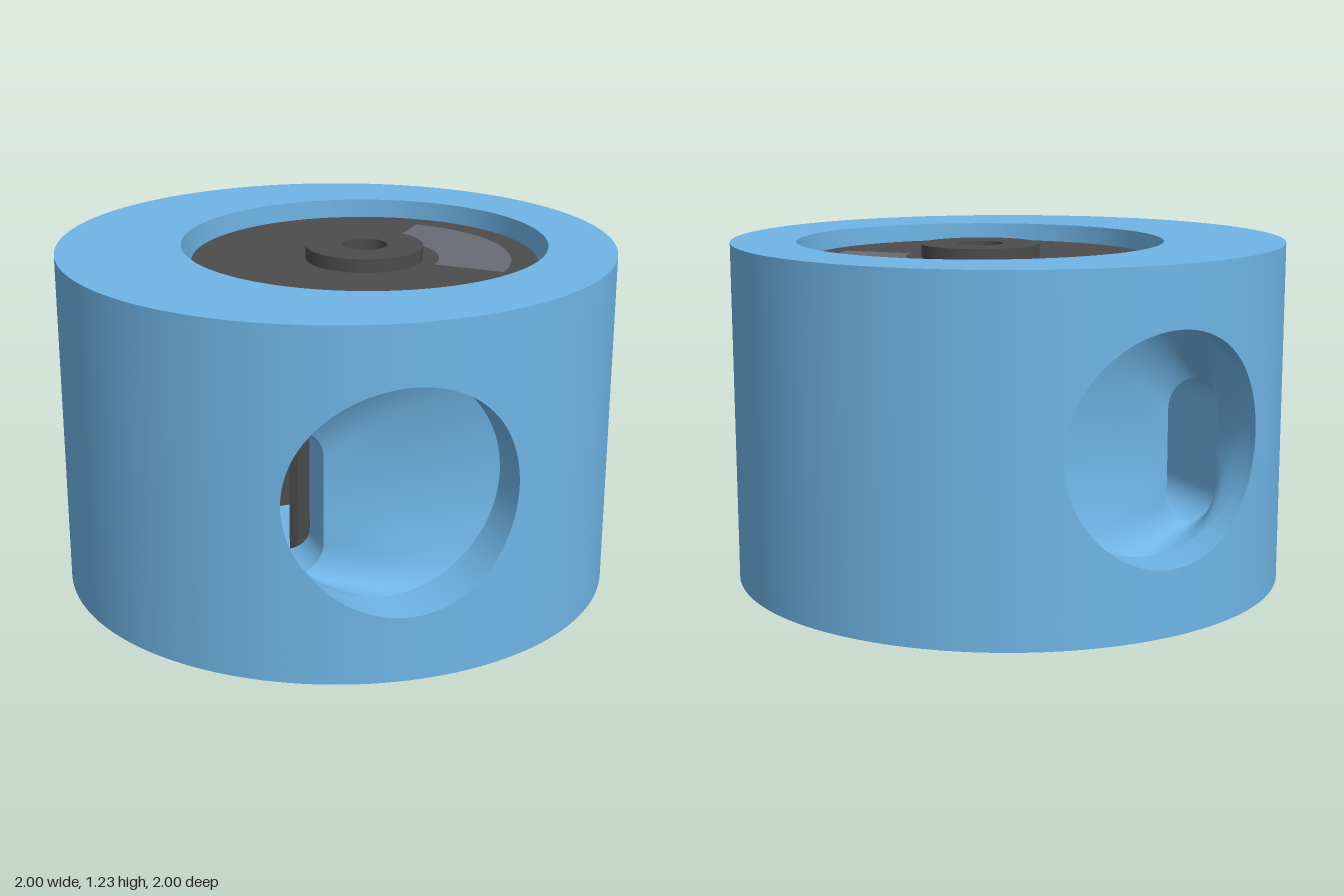
import * as THREE from 'three';
import { toCreasedNormals } from 'three/addons/utils/BufferGeometryUtils.js';

const H = 1.23, CX = 0.11;             // body height, x of the chamber axis
const R_CAVITY = 0.66, FLOOR = 0.22, R_SHAFT = 0.083;
const blue = new THREE.MeshStandardMaterial({ color: 0x6fb5e6, side: THREE.DoubleSide });
const dark = new THREE.MeshStandardMaterial({ color: 0x4c4c4c });
const grey = new THREE.MeshStandardMaterial({ color: 0x686c73 });

// Upright rounded openings: centre, corner radius, half length of the straight sides
const port = { x: -0.13, y: 0.625, r: 0.395, straight: 0 };
const slot = { x: -0.4, y: 0.535, r: 0.1, straight: 0.155 };

function add(group, name, geometry, material) {
  const mesh = new THREE.Mesh(geometry, material);
  mesh.name = name;
  group.add(mesh);
  return mesh;
}

// Surface through a list of closed rings of points
function skin(rings) {
  const n = rings[0].length, index = [];
  for (let i = 0; i < rings.length - 1; i++) {
    for (let j = 0; j < n; j++) {
      const a = i * n + j, b = i * n + (j + 1) % n;
      index.push(a, b, a + n, b, b + n, a + n);
    }
  }
  const g = new THREE.BufferGeometry().setFromPoints(rings.flat());
  g.setIndex(index);
  g.computeVertexNormals();
  return g;
}

// Outline of an opening, one point per direction angle
function outline(o, angles) {
  return angles.map((a) => {
    const c = Math.abs(Math.cos(a)), s = Math.abs(Math.sin(a));
    const t = o.r * s <= o.straight * c
      ? o.r / c
      : o.straight * s + Math.sqrt(o.r ** 2 - (o.straight * c) ** 2);
    return new THREE.Vector2(o.x + t * Math.cos(a), o.y + t * Math.sin(a));
  });
}

const circleAngles = Array.from({ length: 120 }, (_, i) => (i / 120) * Math.PI * 2 - Math.PI);
const flat = (pts, z) => pts.map((p) => new THREE.Vector3(p.x, p.y, z));
const onCylinder = (pts, cx, R, side) => pts.map((p) =>
  new THREE.Vector3(p.x, p.y, side * Math.sqrt(Math.max(0, R * R - (p.x - cx) ** 2))));

// Cylinder wall with the same opening at front and back, inside patches x0..x1
function piercedWall(group, name, cx, R, y0, y1, x0, x1, hole) {
  const corners = [[x0, y0], [x1, y0], [x1, y1], [x0, y1]]
    .map(([x, y]) => Math.atan2(y - hole.y, x - hole.x));
  const angles = [...circleAngles, ...corners].sort((a, b) => a - b);
  const inner = outline(hole, angles);
  const outer = angles.map((a) => {
    const c = Math.cos(a), s = Math.sin(a);
    const tx = ((c > 0 ? x1 : x0) - hole.x) / (c || 1e-9);
    const ty = ((s > 0 ? y1 : y0) - hole.y) / (s || 1e-9);
    const t = Math.min(Math.abs(tx), Math.abs(ty));
    return new THREE.Vector2(hole.x + t * c, hole.y + t * s);
  });
  for (const side of [1, -1]) {
    const rings = [];
    for (let k = 0; k <= 12; k++) {
      rings.push(onCylinder(inner.map((p, i) => p.clone().lerp(outer[i], k / 12)), cx, R, side));
    }
    add(group, name + (side > 0 ? 'Front' : 'Back'), skin(rings), blue);
  }
  const a0 = Math.asin((x0 - cx) / R), a1 = Math.asin((x1 - cx) / R);
  for (const [label, from, to] of [['Left', a1, Math.PI - a1], ['Right', Math.PI - a0, 2 * Math.PI + a0]]) {
    const g = new THREE.CylinderGeometry(R, R, y1 - y0, 72, 1, true, from, to - from);
    add(group, name + label, g, blue).position.set(cx, (y0 + y1) / 2, 0);
  }
}

// Circle outline with the round hole of the chamber axis cut out
function ringShape(cx, R, holeX, holeR) {
  const shape = new THREE.Shape();
  shape.absarc(cx, 0, R, 0, Math.PI * 2);
  const hole = new THREE.Path();
  hole.absarc(holeX, 0, holeR, 0, Math.PI * 2, true);
  shape.holes.push(hole);
  return shape;
}

// Flat round plate with a round hole on the chamber axis
function plate(group, name, cx, R, holeR, y) {
  const g = new THREE.ShapeGeometry(ringShape(cx, R, CX, holeR), 96).rotateX(-Math.PI / 2);
  add(group, name, g, blue).position.y = y;
}

// Thick ring around the rotor axis
function thickRing(group, name, R, y0, y1) {
  const g = new THREE.ExtrudeGeometry(ringShape(0, R, 0, R_SHAFT),
    { depth: y1 - y0, bevelEnabled: false, curveSegments: 72 });
  g.rotateX(-Math.PI / 2);
  add(group, name, toCreasedNormals(g, 0.5), dark).position.y = y0;
}

export function createModel() {
  const model = new THREE.Group();

  // Housing shell, chamber and shaft hole
  const housing = new THREE.Group();
  housing.name = 'housing';
  model.add(housing);
  piercedWall(housing, 'outerWall', 0, 1, 0, H, -0.6, 0.34, port);
  piercedWall(housing, 'chamberWall', CX, R_CAVITY, FLOOR, H, -0.53, -0.25, slot);
  plate(housing, 'topFace', 0, 1, R_CAVITY, H);
  plate(housing, 'chamberFloor', CX, R_CAVITY, R_SHAFT, FLOOR);
  plate(housing, 'bottomFace', 0, 1, R_SHAFT, 0);
  const shaft = new THREE.CylinderGeometry(R_SHAFT, R_SHAFT, FLOOR, 48, 1, true);
  add(housing, 'shaftHole', shaft, blue).position.set(CX, FLOOR / 2, 0);

  // Round ports narrowing to tangential slots into the chamber
  const round = outline(port, circleAngles), narrow = outline(slot, circleAngles);
  for (const side of [1, -1]) {
    const end = side > 0 ? 'Front' : 'Back';
    const mouth = flat(round, 0.82 * side), throat = flat(narrow, 0.65 * side);
    const funnel = [0, 0.25, 0.5, 0.75, 1].map((t) => mouth.map((p, i) => p.clone().lerp(throat[i], t)));
    add(housing, 'portBore' + end, skin([onCylinder(round, 0, 1, side), mouth]), blue);
    add(housing, 'portFunnel' + end, skin(funnel), blue);
    add(housing, 'portSlot' + end, skin([throat, onCylinder(narrow, CX, R_CAVITY, side)]), blue);
  }

  // Rotor: cover disc, hub and eight radial vanes
  const rotor = new THREE.Group();
  rotor.name = 'rotor';
  rotor.position.x = CX;
  model.add(rotor);
  thickRing(rotor, 'coverDisc', 0.625, 1.07, 1.168);
  thickRing(rotor, 'hub', 0.213, 0.25, 1.217);
  for (let i = 0; i < 8; i++) {
    const g = new THREE.BoxGeometry(0.425, 0.82, 0.03).translate(0.4125, 0.66, 0);
    add(rotor, 'vane', g, dark).rotation.y = (i * Math.PI) / 4;
  }

  // Pale marker sector on the disc
  const sector = new THREE.RingGeometry(0.27, 0.53, 48, 1, -Math.PI / 4, Math.PI / 2);
  add(rotor, 'markerSector', sector.rotateX(-Math.PI / 2), grey).position.y = 1.171;

  return model;
}
